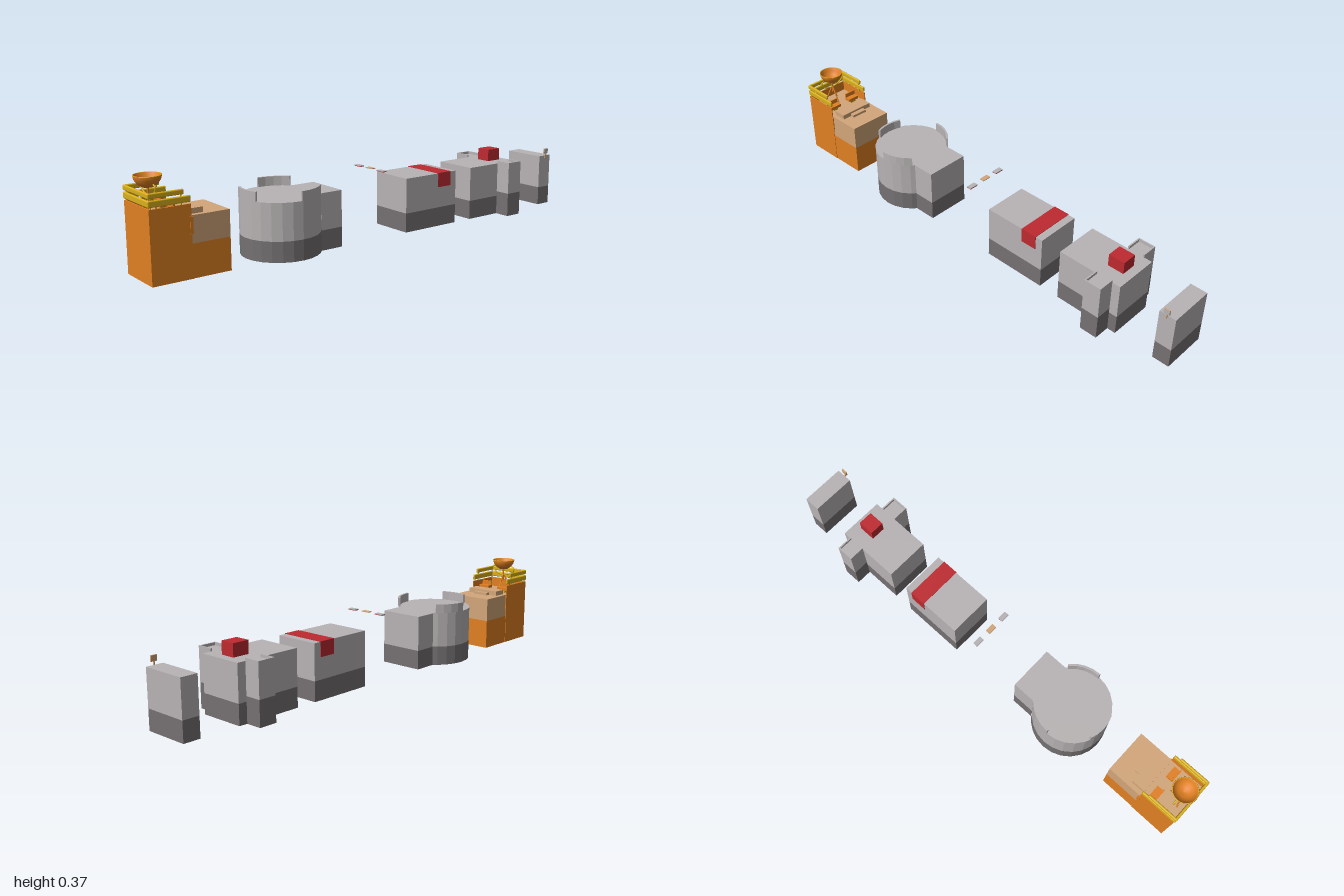
import * as THREE from 'three';
import { RoundedBoxGeometry } from 'three/addons/geometries/RoundedBoxGeometry.js';

const mat = (name, color) => {
  const m = new THREE.MeshStandardMaterial({ color, side: THREE.DoubleSide });
  m.name = name;
  return m;
};

export function createModel() {
  const root = new THREE.Group();
  const grey = mat('light grey', 0xb8b3b4), dark = mat('dark grey', 0x757173);
  const orange = mat('orange', 0xe08022), tan = mat('tan', 0xd2a679);
  const red = mat('red', 0xbe2a30), yellow = mat('yellow', 0xd9b01c);

  const group = (name) => {
    const g = new THREE.Group();
    g.name = name;
    root.add(g);
    return g;
  };
  const add = (parent, name, geo, material) => {
    const m = new THREE.Mesh(geo, material);
    m.name = name;
    parent.add(m);
    return m;
  };
  // Box given by its limits on each axis
  const box = (parent, name, x0, x1, y0, y1, z0, z1, material) => {
    const m = add(parent, name, new THREE.BoxGeometry(x1 - x0, y1 - y0, z1 - z0), material);
    m.position.set((x0 + x1) / 2, (y0 + y1) / 2, (z0 + z1) / 2);
    return m;
  };
  // Vertical single-sheet walls along a path of [x, z] points
  const walls = (parent, name, path, y0, y1, material) => {
    const pos = [];
    for (let i = 0; i < path.length - 1; i++) {
      const [ax, az] = path[i], [bx, bz] = path[i + 1];
      pos.push(ax, y0, az, bx, y0, bz, bx, y1, bz, ax, y0, az, bx, y1, bz, ax, y1, az);
    }
    const g = new THREE.BufferGeometry();
    g.setAttribute('position', new THREE.Float32BufferAttribute(pos, 3));
    g.computeVertexNormals();
    return add(parent, name, g, material);
  };
  // Flat deck over an outline of [x, z] points
  const deck = (parent, name, path, y, material) => {
    const shape = new THREE.Shape(path.map(([x, z]) => new THREE.Vector2(x, -z)));
    const m = add(parent, name, new THREE.ShapeGeometry(shape).rotateX(-Math.PI / 2), material);
    m.position.y = y;
    return m;
  };
  // Hollow two-tone block, open below
  const block = (parent, path, split, top, lowMat, highMat) => {
    walls(parent, 'lowerWalls', path, 0, split, lowMat);
    walls(parent, 'upperWalls', path, split, top, highMat);
    deck(parent, 'deck', path, top, highMat);
  };
  const rect = (x0, x1, z0, z1) => [[x0, z1], [x1, z1], [x1, z0], [x0, z0], [x0, z1]];
  const tube = (parent, name, pts, r, material) =>
    add(parent, name, new THREE.TubeGeometry(
      new THREE.CatmullRomCurve3(pts.map((p) => new THREE.Vector3(...p))), 12, r, 8), material);

  const W = 0.094, H = 0.225, BAND = 0.08;

  // Front section: low rear deck and tall parapet bay
  const front = group('frontTower');
  walls(front, 'rearLowerWalls', [[W, 0.845], [W, 0.69], [-W, 0.69], [-W, 0.845]], 0, 0.125, orange);
  walls(front, 'rearUpperWalls', [[W, 0.845], [W, 0.69], [-W, 0.69], [-W, 0.845]], 0.125, H, tan);
  deck(front, 'floor', rect(-W, W, 0.69, 0.99), H, tan);
  box(front, 'frontWall', -0.096, 0.096, 0, 0.267, 0.99, 0.996, orange);
  for (const s of [-1, 1]) {
    const side = box(front, 'sideWall', -0.002, 0.002, 0, 0.267, 0.84, 0.992, orange);
    side.position.x = s * 0.094;
    const strip = box(front, 'sideStrip', -0.002, 0.002, 0.16, 0.222, 0.835, 0.847, orange);
    strip.position.x = s * 0.096;
  }
  box(front, 'raisedStep', -0.075, 0.075, H, 0.245, 0.785, 0.842, tan);
  box(front, 'lowStep', -0.035, 0.035, H, 0.236, 0.765, 0.785, tan);

  // Two bulged rails on three sides, carried by corner posts
  [[0.273, 0.297, 0.84], [0.303, 0.322, 0.865]].forEach(([y0, y1, zBack]) => {
    const h = y1 - y0, y = (y0 + y1) / 2;
    add(front, 'frontRail', new RoundedBoxGeometry(0.195, h, 0.01, 3, 0.0045), yellow).position.set(0, y, 0.994);
    for (const s of [-1, 1]) {
      add(front, 'sideRail', new RoundedBoxGeometry(0.01, h, 0.998 - zBack, 3, 0.0045), yellow)
        .position.set(s * 0.0925, y, (0.998 + zBack) / 2);
    }
  });
  for (const s of [-1, 1]) for (const z of [0.875, 0.988]) {
    box(front, 'railPost', s * 0.092 - 0.002, s * 0.092 + 0.002, 0.26, 0.31, z - 0.002, z + 0.002, yellow);
  }

  // Seats
  for (const s of [-1, 1]) {
    const x = s * 0.05;
    box(front, 'seat', x - 0.025, x + 0.025, 0.237, 0.25, 0.865, 0.895, orange);
    box(front, 'seatBase', x - 0.012, x + 0.012, H, 0.237, 0.872, 0.888, yellow);
    box(front, 'seatBack', x - 0.025, x + 0.025, 0.25, 0.268, 0.89, 0.896, orange);
  }

  // Bowl on splayed legs with a curved yoke
  const bowl = group('bowlStand');
  bowl.position.z = 0.95;
  const profile = [[0, 0.32], [0.02, 0.324], [0.036, 0.335], [0.046, 0.35], [0.05, 0.366],
    [0.046, 0.366], [0.042, 0.352], [0.032, 0.338], [0.018, 0.329], [0, 0.326]];
  add(bowl, 'bowl', new THREE.LatheGeometry(profile.map(([x, y]) => new THREE.Vector2(x, y)), 28), orange);
  const rim = add(bowl, 'bowlRim', new THREE.TorusGeometry(0.048, 0.002, 6, 28).rotateX(Math.PI / 2), yellow);
  rim.position.y = 0.365;
  for (const s of [-1, 1]) {
    tube(bowl, 'yokeArm', [[s * 0.03, 0.3, 0], [s * 0.056, 0.318, 0], [s * 0.056, 0.332, 0], [s * 0.044, 0.338, 0]], 0.003, yellow);
  }
  tube(bowl, 'yokeBase', [[-0.03, 0.3, 0], [0, 0.295, 0], [0.03, 0.3, 0]], 0.003, yellow);
  tube(bowl, 'post', [[0, 0.27, 0], [0, 0.322, 0]], 0.004, orange);
  for (let i = 0; i < 3; i++) {
    const a = i * Math.PI * 2 / 3 - Math.PI / 2, c = Math.cos(a), d = Math.sin(a);
    tube(bowl, 'leg', [[0, 0.3, 0], [c * 0.015, 0.27, d * 0.015], [c * 0.036, H, d * 0.036]], 0.003, orange);
  }

  // Round section with three parapet arcs
  const round = group('roundSection');
  const R = 0.155, CZ = 0.42;
  const arc = (a0, a1, n, r) => Array.from({ length: n + 1 }, (_, i) => {
    const a = a0 + (a1 - a0) * i / n;
    return [r * Math.sin(a), CZ + r * Math.cos(a)];
  });
  block(round, arc(0, Math.PI * 2, 24, R), BAND, H, dark, grey);
  const neck = [[W, 0.297], [W, 0.2], [-W, 0.2], [-W, 0.297]];
  block(round, neck, BAND, H, dark, grey);
  const parapet = (a0, a1) => {
    const outer = arc(a0, a1, 4, R + 0.001), inner = arc(a1, a0, 4, R - 0.008);
    const loop = [...outer, ...inner, outer[0]];
    walls(round, 'parapetSides', loop, H, 0.262, grey);
    deck(round, 'parapetTop', loop, 0.262, grey);
  };
  parapet(-0.4, 0.4);
  for (const s of [-1, 1]) parapet(s * 1.55, s * 2.42);

  // Middle section with a red saddle
  const middle = group('middleSection');
  block(middle, rect(-W, W, -0.402, -0.128), BAND, H, dark, grey);
  box(middle, 'redSaddle', -0.096, 0.096, 0.167, 0.227, -0.371, -0.301, red);

  // Three loose plates, the outer two red underneath
  const plates = group('floatingPlates');
  [-0.072, 0, 0.072].forEach((x, i) => {
    const m = i === 1 ? tan : grey;
    box(plates, 'plate', x - 0.019, x + 0.019, 0.268, 0.271, -0.026, -0.006, m);
    if (i !== 1) box(plates, 'plateUnderside', x - 0.019, x + 0.019, 0.266, 0.268, -0.026, -0.006, red);
  });

  // Winged section with edged balconies and a red box
  const winged = group('wingedSection');
  block(winged, rect(-W, W, -0.765, -0.49), BAND, H, dark, grey);
  const z0 = -0.73, z1 = -0.656, X = 0.161, T = 0.006;
  for (const s of [-1, 1]) {
    block(winged, [[s * W, z1], [s * X, z1], [s * X, z0], [s * W, z0]], 0.1, H, dark, grey);
    const edge = (xa, xb, za, zb) =>
      box(winged, 'balconyEdge', Math.min(s * xa, s * xb), Math.max(s * xa, s * xb), H, 0.236, za, zb, grey);
    edge(X - T, X, z0, z1);
    edge(W, X - T, z0, z0 + T);
    edge(W, X - T, z1 - T, z1);
  }
  box(winged, 'redBox', -0.031, 0.031, H, 0.276, -0.73, -0.661, red);

  // Rear section with a small side sign
  const rear = group('rearSection');
  block(rear, rect(-W, W, -1, -0.931), BAND, H, dark, grey);
  box(rear, 'signPost', 0.097, 0.101, 0.215, 0.24, -0.966, -0.962, tan);
  box(rear, 'signBracket', W, 0.101, 0.215, 0.219, -0.966, -0.962, tan);
  box(rear, 'sign', 0.097, 0.103, 0.236, 0.258, -0.976, -0.952, [grey, tan, tan, tan, tan, tan]);

  return root;
}
